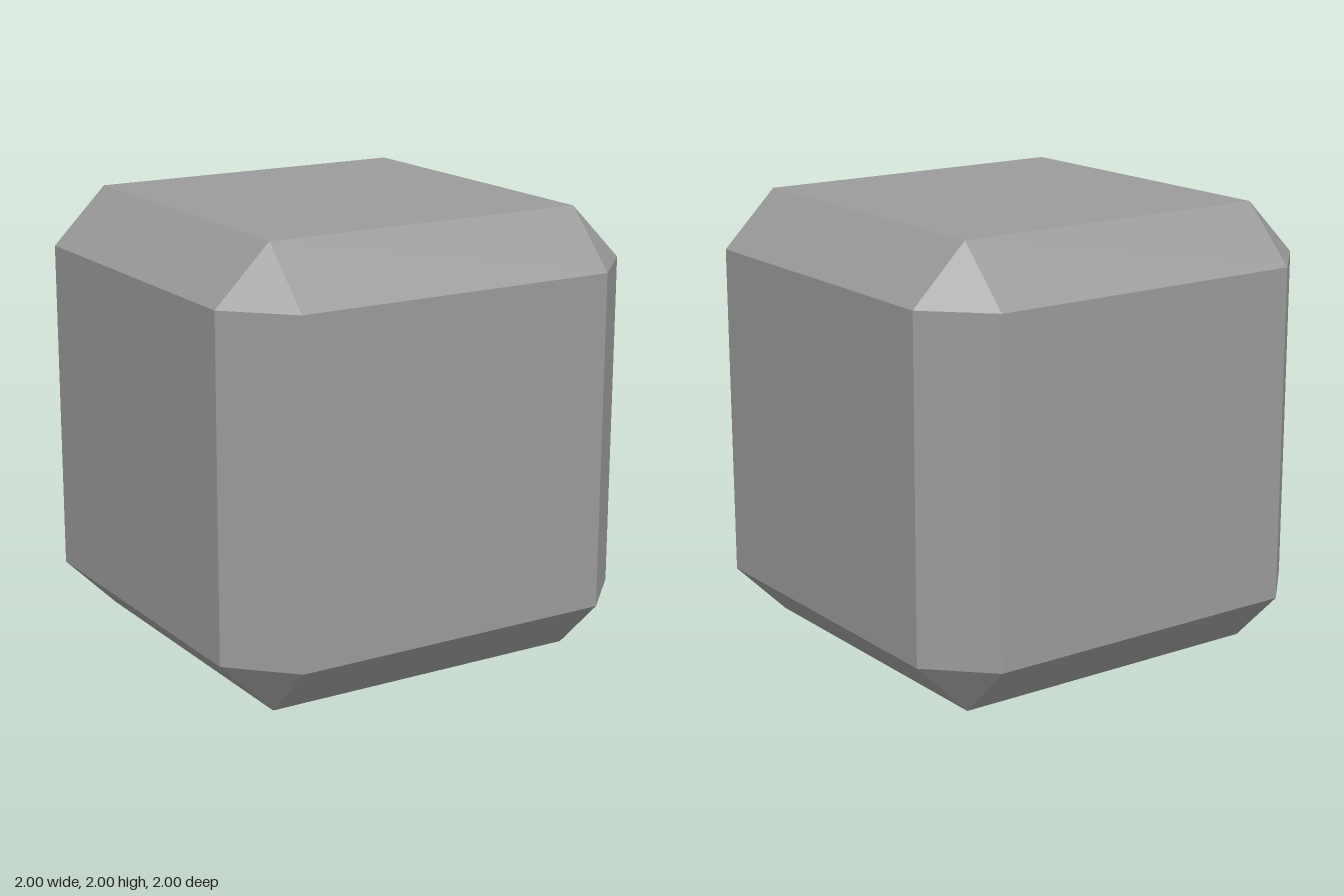
import * as THREE from 'three';
import { ConvexGeometry } from 'three/addons/geometries/ConvexGeometry.js';

const HALF = 1;       // half the cube's side
const CHAMFER = 0.25; // width cut from each edge

// Cube with every edge and corner cut: each corner becomes three points
function chamferedCube(half, chamfer) {
  const inner = half - chamfer;
  const points = [];
  for (const sx of [-1, 1]) for (const sy of [-1, 1]) for (const sz of [-1, 1]) {
    points.push(
      new THREE.Vector3(sx * half, sy * inner, sz * inner),
      new THREE.Vector3(sx * inner, sy * half, sz * inner),
      new THREE.Vector3(sx * inner, sy * inner, sz * half),
    );
  }
  return new ConvexGeometry(points);
}

export function createModel() {
  const group = new THREE.Group();
  group.name = 'chamferedCube';

  const material = new THREE.MeshStandardMaterial({ color: 0x9b9b9b, flatShading: true });
  const body = new THREE.Mesh(chamferedCube(HALF, CHAMFER), material);
  body.name = 'cubeBody';
  body.position.y = HALF; // stands on the ground
  group.add(body);

  return group;
}
